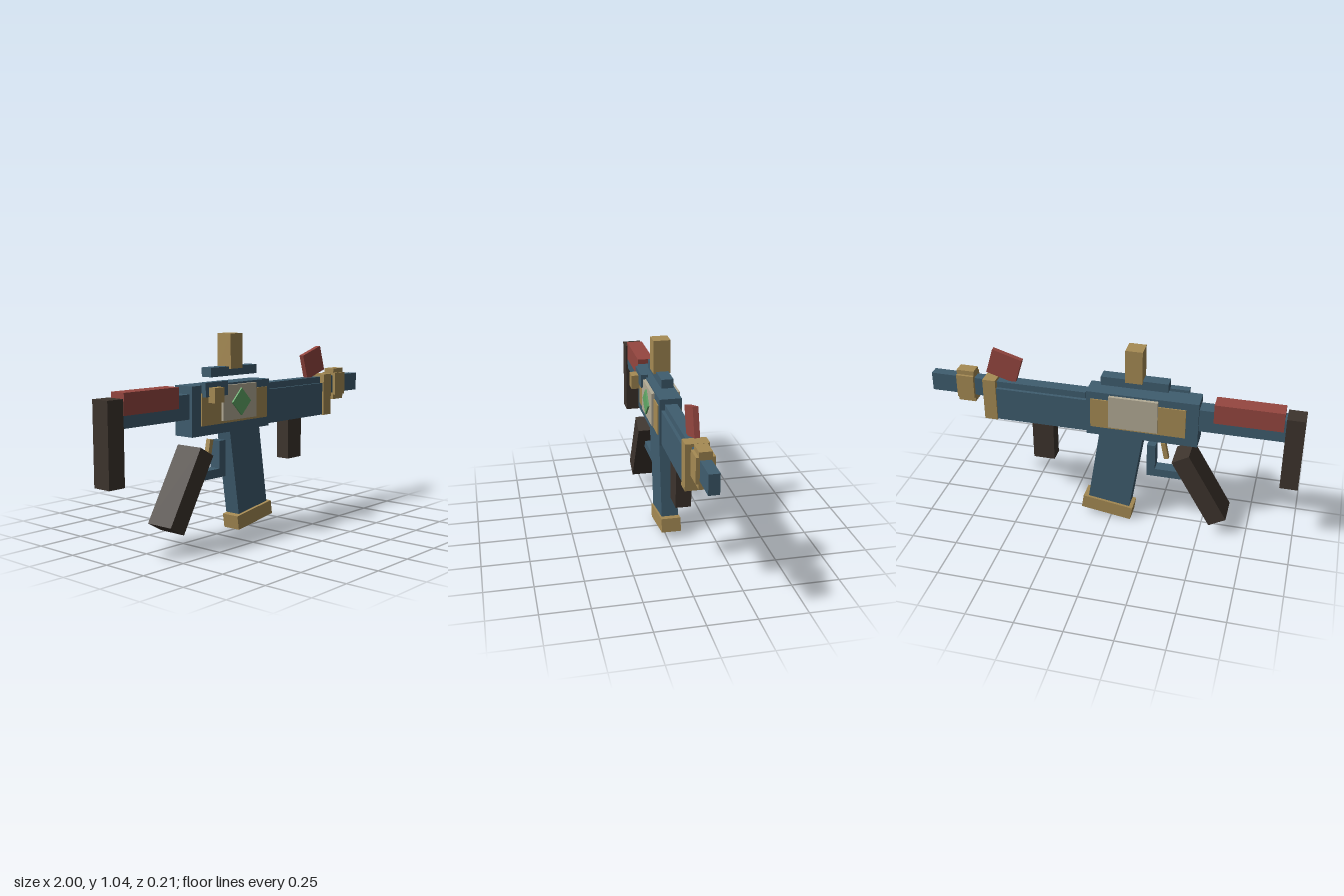
import * as THREE from 'three';

const mat = (name, color) => {
  const m = new THREE.MeshStandardMaterial({ color });
  m.name = name;
  return m;
};

export function createModel() {
  const group = new THREE.Group();
  group.name = 'toyBlaster';

  const blue = mat('slate blue', 0x3f5d6f);
  const brass = mat('brass', 0xa68b54);
  const red = mat('brick red', 0x964740);
  const dark = mat('dark brown', 0x3d342d);
  const ivory = mat('ivory', 0xb3ab96);
  const green = mat('green', 0x60a866);

  // Box given by its extents along x, y and z
  const block = (name, material, [x0, x1], [y0, y1], [z0, z1]) => {
    const mesh = new THREE.Mesh(new THREE.BoxGeometry(x1 - x0, y1 - y0, z1 - z0), material);
    mesh.position.set((x0 + x1) / 2, (y0 + y1) / 2, (z0 + z1) / 2);
    mesh.name = name;
    group.add(mesh);
    return mesh;
  };
  // Box given by centre and size in the side plane, then tilted about z
  const tilted = (name, material, cx, cy, w, h, z, degrees) => {
    const mesh = block(name, material, [cx - w / 2, cx + w / 2], [cy - h / 2, cy + h / 2], z);
    mesh.rotation.z = THREE.MathUtils.degToRad(degrees);
    return mesh;
  };

  // Stock
  block('buttPlate', dark, [-1, -0.905], [0.355, 0.77], [-0.075, 0.03]);
  block('stockTube', blue, [-0.92, -0.45], [0.63, 0.755], [-0.063, 0.02]);
  block('cheekRest', red, [-0.895, -0.54], [0.69, 0.797], [-0.067, 0.023]);

  // Receiver with side panels
  block('receiver', blue, [-0.465, 0.128], [0.54, 0.795], [-0.08, 0.037]);
  block('brassPanel', brass, [-0.4, 0.105], [0.59, 0.755], [-0.087, 0.043]);
  block('ivoryPanel', ivory, [-0.255, 0.005], [0.603, 0.785], [-0.098, 0.055]);
  tilted('diamondInlay', green, -0.121, 0.694, 0.101, 0.101, [0.055, 0.064], 45);

  // Charging bolt
  block('boltBlock', blue, [-0.395, -0.23], [0.737, 0.81], [0.025, 0.065]);
  block('boltKnob', brass, [-0.37, -0.3], [0.708, 0.785], [0.06, 0.105]);

  // Top rail and rear sight
  block('topRail', blue, [-0.3, 0.055], [0.828, 0.876], [-0.053, 0.012]);
  block('rearSight', brass, [-0.166, -0.076], [0.864, 1.046], [-0.066, 0.026]);

  // Fore end
  block('handguard', blue, [0.12, 0.64], [0.55, 0.735], [-0.072, 0.028]);
  block('handguardRidge', blue, [0.138, 0.635], [0.73, 0.77], [-0.054, 0.011]);
  block('frontBand', brass, [0.627, 0.698], [0.548, 0.785], [-0.08, 0.038]);
  tilted('frontSight', red, 0.589, 0.854, 0.167, 0.145, [-0.034, -0.007], 17);
  block('foregrip', dark, [0.319, 0.436], [0.328, 0.56], [-0.06, 0.02]);

  // Barrel and its cross-shaped muzzle collar
  block('barrel', blue, [0.65, 1], [0.668, 0.77], [-0.047, 0.007]);
  block('muzzleCollarWide', brass, [0.756, 0.852], [0.655, 0.785], [-0.066, 0.026]);
  block('muzzleCollarTall', brass, [0.756, 0.852], [0.628, 0.81], [-0.052, 0.012]);

  // Magazine
  tilted('magazine', blue, -0.027, 0.35, 0.232, 0.5, [-0.065, 0.025], 8.6);
  tilted('magazineBase', brass, 0.021, 0.06, 0.28, 0.076, [-0.073, 0.032], 8.6);

  // Grip, trigger and guard
  tilted('grip', dark, -0.491, 0.276, 0.104, 0.43, [-0.101, 0.061], -30);
  tilted('trigger', brass, -0.287, 0.458, 0.024, 0.098, [-0.034, -0.006], -12);
  block('guardBar', blue, [-0.42, -0.195], [0.304, 0.35], [-0.053, 0.013]);
  block('guardPost', blue, [-0.24, -0.195], [0.304, 0.495], [-0.053, 0.013]);

  return group;
}
